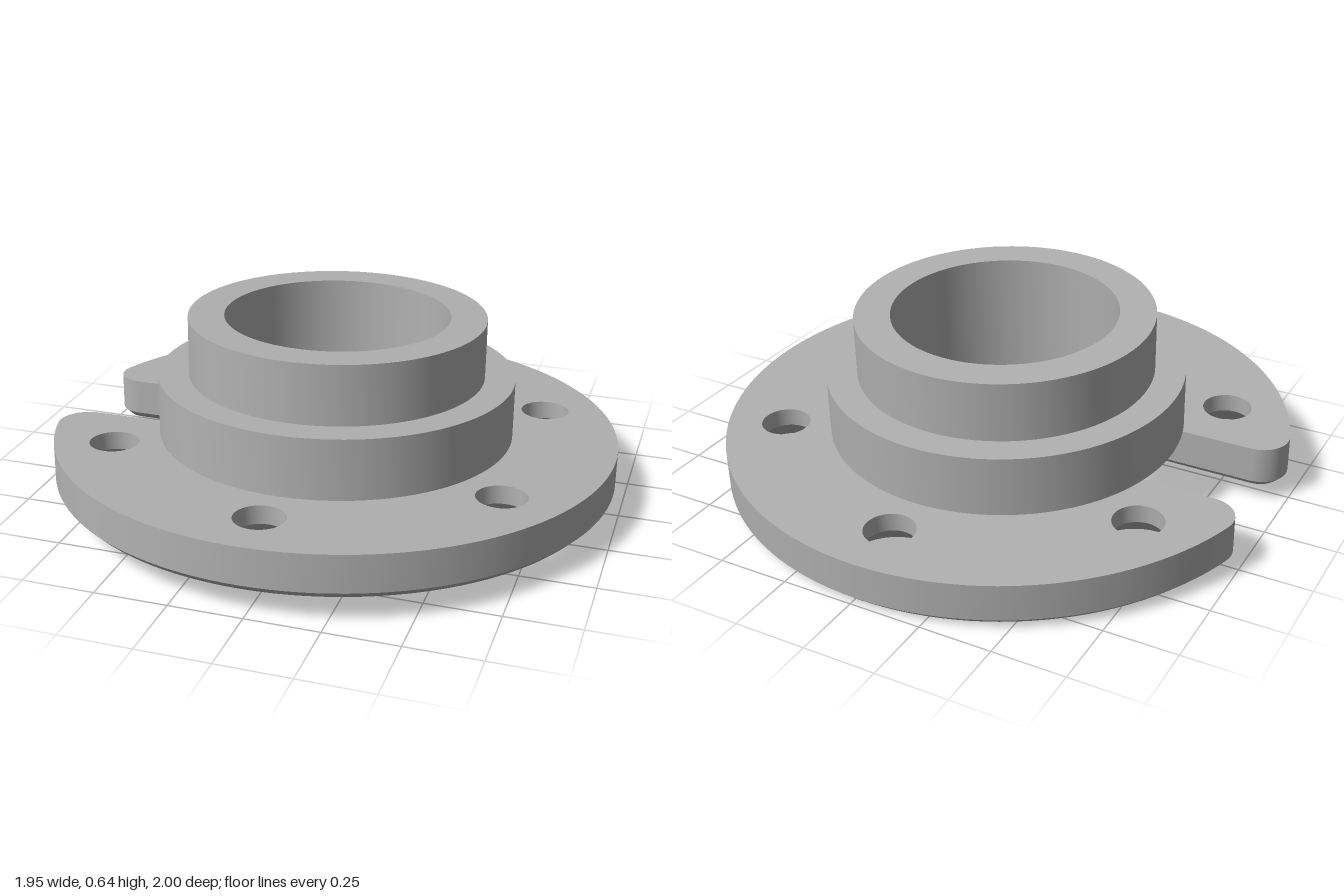
import * as THREE from 'three';
import { toCreasedNormals } from 'three/addons/utils/BufferGeometryUtils.js';

const OUTER = 0.997, BORE = 0.395, HUB = 0.628, COLLAR = 0.521;
const SLOT = 0.169, ROUND = 0.1, CHAMFER = 0.025;
const THICK = 0.155, HUB_TOP = 0.367, COLLAR_TOP = 0.577;
const HOLE = 0.086, SINK = 0.175, HOLE_CIRCLE = 0.79, SINK_DEPTH = 0.09;

// points along a circular arc
function arc(cx, cy, r, from, to, n) {
  return Array.from({ length: n + 1 }, (_, i) => {
    const a = from + (to - from) * i / n;
    return new THREE.Vector2(cx + r * Math.cos(a), cy + r * Math.sin(a));
  });
}

// C-shaped flange outline, shrunk inward by "inset"
function outline(inset, inner = BORE) {
  const fy = SLOT + ROUND, fx = -Math.sqrt((OUTER - ROUND) ** 2 - fy ** 2);
  const phi = Math.atan2(fy, fx), r = ROUND - inset, b = inner + inset;
  const gap = Math.PI - Math.asin((SLOT + inset) / b);
  return [
    ...arc(0, 0, OUTER - inset, -phi, phi, 120),
    ...arc(fx, fy, r, phi, Math.PI * 1.5, 12).slice(1),
    ...arc(0, 0, b, gap, -gap, 96),
    ...arc(fx, -fy, r, Math.PI / 2, Math.PI * 2 - phi, 12).slice(0, -1),
  ];
}

const holeCentres = Array.from({ length: 6 }, (_, i) => {
  const a = Math.PI / 6 + i * Math.PI / 3;
  return new THREE.Vector2(HOLE_CIRCLE * Math.cos(a), HOLE_CIRCLE * Math.sin(a));
});

// flat face at height y, looking up (+1) or down (-1)
function face(points, y, facing, holeRadius) {
  const shape = new THREE.Shape(points);
  if (holeRadius) {
    for (const c of holeCentres) {
      shape.holes.push(new THREE.Path(arc(c.x, c.y, holeRadius, 0, Math.PI * 2, 48).slice(0, -1)));
    }
  }
  return new THREE.ShapeGeometry(shape).rotateX(-facing * Math.PI / 2).translate(0, y, 0);
}

// wall joining two outlines at different heights
function wall(low, lowY, high, highY) {
  const pos = [], index = [], n = low.length;
  for (let i = 0; i < n; i++) {
    pos.push(low[i].x, lowY, -low[i].y, high[i].x, highY, -high[i].y);
    const a = 2 * i, b = 2 * ((i + 1) % n);
    index.push(a, b, b + 1, a, b + 1, a + 1);
  }
  const g = new THREE.BufferGeometry();
  g.setAttribute('position', new THREE.Float32BufferAttribute(pos, 3));
  g.setIndex(index);
  return toCreasedNormals(g, 0.5);
}

function lathe(profile, segments) {
  const points = profile.map(([r, y]) => new THREE.Vector2(r, y));
  return toCreasedNormals(new THREE.LatheGeometry(points, segments), 0.5);
}

export function createModel() {
  const metal = new THREE.MeshStandardMaterial({ color: 0xb0b0b0 });
  metal.name = 'greyMetal';
  const model = new THREE.Group();
  model.name = 'slottedFlange';
  const add = (name, geometry, parent = model) => {
    const mesh = new THREE.Mesh(geometry, metal);
    mesh.name = name;
    parent.add(mesh);
    return mesh;
  };

  // flange plate
  const flange = new THREE.Group();
  flange.name = 'flange';
  model.add(flange);
  const full = outline(0), inset = outline(CHAMFER);
  add('flangeTop', face(outline(0, HUB), THICK, 1, HOLE), flange);
  add('flangeBottom', face(inset, 0, -1, SINK), flange);
  add('flangeRim', wall(full, CHAMFER, full, THICK), flange);
  add('flangeChamfer', wall(inset, 0, full, CHAMFER), flange);

  // countersunk bolt holes
  const holeGeometry = lathe([[HOLE, THICK], [HOLE, SINK_DEPTH], [SINK, 0]], 48);
  for (const c of holeCentres) {
    add('boltHole', holeGeometry, flange).position.set(c.x, 0, c.y);
  }

  // stepped hub with its bore
  add('hub', lathe([
    [HUB, THICK], [HUB, HUB_TOP], [COLLAR, HUB_TOP],
    [COLLAR, COLLAR_TOP], [BORE, COLLAR_TOP], [BORE, THICK],
  ], 128));

  // underside of the hub, seen through the slot
  const ai = Math.asin(SLOT / BORE), ao = Math.asin(SLOT / HUB);
  add('slotCeiling', face([
    ...arc(0, 0, HUB, Math.PI - ao, Math.PI + ao, 16),
    ...arc(0, 0, BORE, Math.PI + ai, Math.PI - ai, 16),
  ], THICK, -1));

  // slight forward-up tilt, standing on the ground
  model.rotation.x = -0.045;
  model.position.set(-0.021, 0.044, 0.003);
  return model;
}
